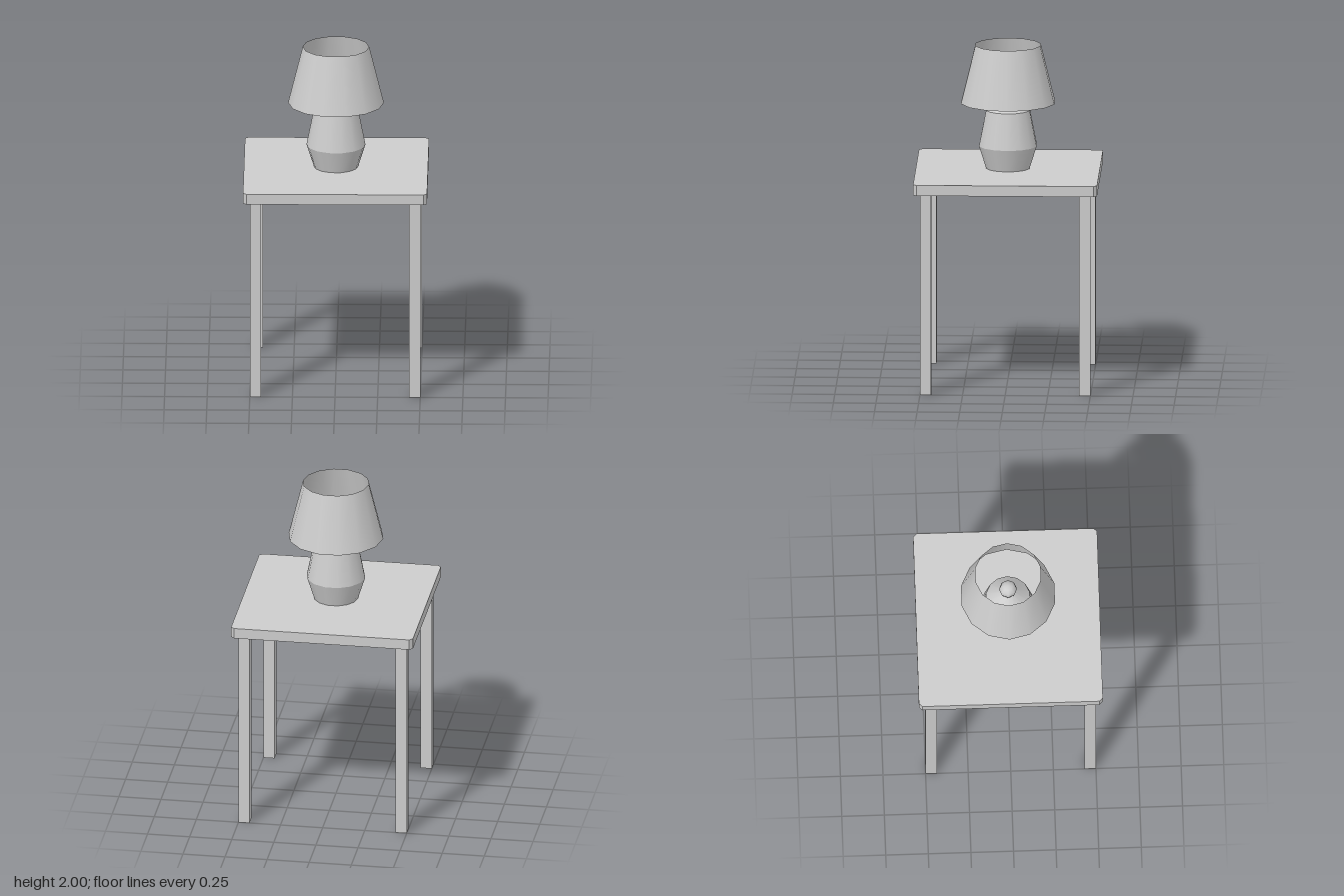
import * as THREE from 'three';

export function createModel() {
  const grey = new THREE.MeshStandardMaterial({ color: 0xcccccc });
  grey.name = 'grey';
  const greyOpen = new THREE.MeshStandardMaterial({ color: 0xcccccc, side: THREE.DoubleSide });
  greyOpen.name = 'grey open surface';

  const model = new THREE.Group();
  model.name = 'tableWithLamp';

  const add = (parent, name, geometry, x, y, z, material = grey) => {
    const mesh = new THREE.Mesh(geometry, material);
    mesh.name = name;
    mesh.position.set(x, y, z);
    parent.add(mesh);
    return mesh;
  };

  // Tabletop: square slab with clipped corners
  const h = 0.54, c = 0.52, thick = 0.063, tableY = 1.263;
  const outline = new THREE.Shape([
    [h, -c], [h, c], [c, h], [-c, h], [-h, c], [-h, -c], [-c, -h], [c, -h],
  ].map(([x, y]) => new THREE.Vector2(x, y)));
  const slab = new THREE.ExtrudeGeometry(outline, { depth: thick, bevelEnabled: false });
  slab.rotateX(-Math.PI / 2);
  add(model, 'tabletop', slab, 0, tableY - thick, 0);

  // Four square legs
  for (const sx of [-1, 1]) {
    for (const sz of [-1, 1]) {
      const name = (sz > 0 ? 'front' : 'back') + (sx > 0 ? 'Left' : 'Right') + 'Leg';
      add(model, name, new THREE.BoxGeometry(0.066, 1.2, 0.066), sx * 0.467, 0.6, sz * 0.467);
    }
  }

  // Lamp: fourteen-sided rings with hard edges between the bands
  const lamp = new THREE.Group();
  lamp.name = 'lamp';
  model.add(lamp);
  const band = (name, r0, y0, r1, y1, material = greyOpen) => {
    const geometry = new THREE.CylinderGeometry(r1, r0, y1 - y0, 14, 1, true);
    geometry.rotateY(Math.PI / 2);
    add(lamp, name, geometry, 0, (y0 + y1) / 2, 0, material);
  };
  band('lowerBase', 0.13, tableY, 0.173, 1.397, grey);
  band('upperBase', 0.173, 1.397, 0.131, 1.61, grey);
  band('baseShoulder', 0.131, 1.61, 0.03, 1.705, grey);
  band('shade', 0.281, 1.655, 0.195, 2);

  // Bulb
  add(lamp, 'bulb', new THREE.SphereGeometry(0.053, 8, 6), 0, 1.75, 0);

  return model;
}
